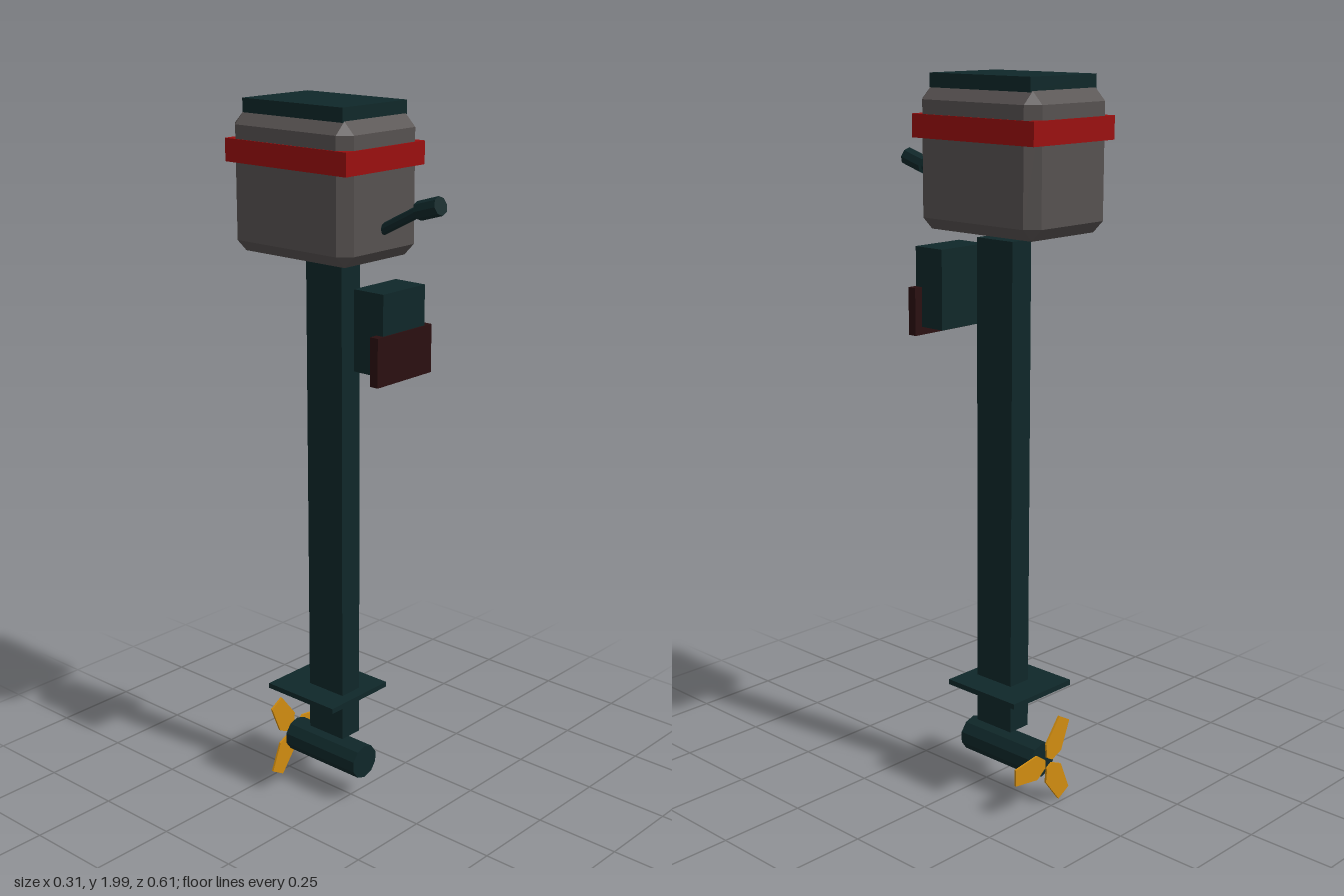
import * as THREE from 'three';
import { ConvexGeometry } from 'three/addons/geometries/ConvexGeometry.js';

const mat = (name, color) => {
  const m = new THREE.MeshStandardMaterial({ color, flatShading: true });
  m.name = name;
  return m;
};

// Box with every edge cut at 45 degrees by c
function chamferBox(w, h, d, c) {
  const pts = [];
  for (const x of [-w / 2, w / 2]) for (const y of [-h / 2, h / 2]) for (const z of [-d / 2, d / 2]) {
    const [sx, sy, sz] = [Math.sign(x) * c, Math.sign(y) * c, Math.sign(z) * c];
    pts.push(new THREE.Vector3(x, y - sy, z - sz));
    pts.push(new THREE.Vector3(x - sx, y, z - sz));
    pts.push(new THREE.Vector3(x - sx, y - sy, z));
  }
  return new ConvexGeometry(pts);
}

export function createModel() {
  const group = new THREE.Group();
  const teal = mat('dark teal', 0x0f2729);
  const gray = mat('warm gray', 0x565150);
  const red = mat('red', 0x9a0f0f);
  const brown = mat('dark brown', 0x2a0f10);
  const gold = mat('gold', 0xd08c10);

  const add = (name, geometry, material, parent = group) => {
    const mesh = new THREE.Mesh(geometry, material);
    mesh.name = name;
    parent.add(mesh);
    return mesh;
  };

  // Box given by half width and its y and z ranges
  const box = (name, hw, y0, y1, z0, z1, material) => {
    const mesh = add(name, new THREE.BoxGeometry(hw * 2, y1 - y0, z1 - z0), material);
    mesh.position.set(0, (y0 + y1) / 2, (z0 + z1) / 2);
  };

  // Cylinder between two points in the plane x = 0, given as [y, z]
  const rod = (name, a, b, radius, sides, material) => {
    const p = new THREE.Vector3(0, ...a), q = new THREE.Vector3(0, ...b);
    const mesh = add(name, new THREE.CylinderGeometry(radius, radius, p.distanceTo(q), sides), material);
    mesh.position.copy(p).add(q).multiplyScalar(0.5);
    mesh.quaternion.setFromUnitVectors(new THREE.Vector3(0, 1, 0), q.sub(p).normalize());
  };

  // Engine cowling with band and lid
  const cowl = add('cowling', chamferBox(0.3, 0.366, 0.416, 0.032), gray);
  cowl.position.set(0, 1.783, -0.092);
  box('cowlingBand', 0.153, 1.836, 1.897, -0.304, 0.12, red);
  box('cowlingLid', 0.124, 1.963, 2.0, -0.266, 0.083, teal);

  // Tiller handle
  rod('tillerArm', [1.675, 0.09], [1.752, 0.24], 0.015, 8, teal);
  rod('tillerGrip', [1.747, 0.23], [1.767, 0.298], 0.025, 8, teal);

  // Leg, mounting bracket and plate
  box('leg', 0.036, 0.2, 1.577, -0.127, 0, teal);
  box('bracket', 0.083, 1.322, 1.54, 0.085, 0.184, teal);
  box('clampPad', 0.108, 1.3, 1.431, 0.162, 0.188, brown);
  box('cavitationPlate', 0.116, 0.323, 0.338, -0.214, 0.034, teal);

  // Gear case
  rod('gearCase', [0.132, -0.214], [0.132, 0.053], 0.05, 10, teal);

  // Propeller: three tapered blades
  const propeller = new THREE.Group();
  propeller.name = 'propeller';
  propeller.position.set(0, 0.132, -0.238);
  group.add(propeller);
  const outline = [[0.012, -0.012], [0.045, -0.036], [0.132, -0.024], [0.132, 0.024], [0.045, 0.036], [0.012, 0.012]];
  const shape = new THREE.Shape(outline.map(([x, y]) => new THREE.Vector2(x, y)));
  const bladeGeometry = new THREE.ExtrudeGeometry(shape, { depth: 0.006, bevelEnabled: false });
  for (let i = 0; i < 3; i++) {
    add('blade' + (i + 1), bladeGeometry, gold, propeller).rotation.z = (i * Math.PI * 2) / 3;
  }

  return group;
}
